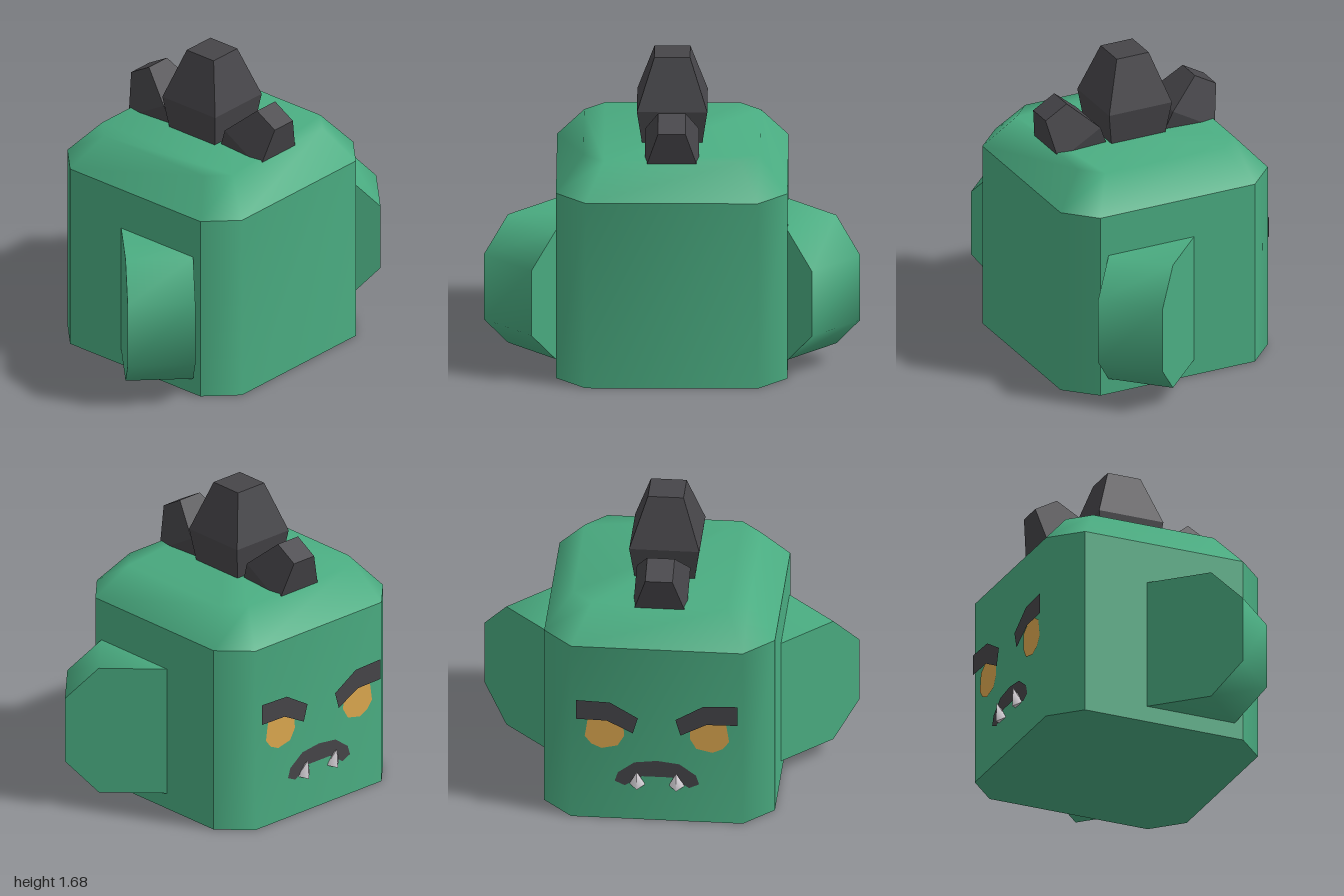
import * as THREE from 'three';
import { mergeGeometries, toCreasedNormals } from 'three/addons/utils/BufferGeometryUtils.js';

const mat = (name, color, side = THREE.FrontSide) => {
  const m = new THREE.MeshStandardMaterial({ color, side });
  m.name = name;
  return m;
};

// Octagon in the ground plane, counterclockwise from above: half width, back, front, corner cut
const octagon = (w, back, front, c) => [
  [-w + c, front], [w - c, front], [w, front - c], [w, back + c],
  [w - c, back], [-w + c, back], [-w, back + c], [-w, front - c],
];

// Indexed geometry with smooth normals
function surface(points, index) {
  const g = new THREE.BufferGeometry();
  g.setAttribute('position', new THREE.Float32BufferAttribute(points.flat(), 3));
  g.setIndex(index);
  g.computeVertexNormals();
  return g;
}

// Band between a lower and an upper row of points
function bandIndex(n, closed) {
  const index = [];
  for (let i = 0; i < (closed ? n : n - 1); i++) {
    const j = (i + 1) % n;
    index.push(i, j, n + j, i, n + j, n + i);
  }
  return index;
}

function bodyGeometry() {
  const lift = (row, y) => row.map(([x, z]) => [x, y, z]);
  const outer = octagon(0.615, -0.6, 0.635, 0.157);
  const inner = octagon(0.47, -0.44, 0.483, 0.11);
  const parts = [];
  // Walls: rounded front and back with flat sides
  for (const ids of [[7, 0, 1, 2], [2, 3], [3, 4, 5, 6], [6, 7]]) {
    const row = ids.map((i) => outer[i]);
    parts.push(surface([...lift(row, 0), ...lift(row, 1.045)], bandIndex(row.length, false)));
  }
  // Sloping top and flat underside
  const top = bandIndex(8, true), base = [];
  for (let i = 1; i < 7; i++) {
    top.push(8, 8 + i, 9 + i);
    base.push(0, i + 1, i);
  }
  parts.push(surface([...lift(outer, 1.045), ...lift(inner, 1.225)], top));
  parts.push(surface(lift(outer, 0), base));
  return mergeGeometries(parts);
}

// Slab arm with cut outer corners, its end centred on the origin
function armGeometry() {
  const shape = new THREE.Shape([
    [-0.6, 0.09], [-0.18, 0.09], [0, 0.268], [0, 0.635], [-0.18, 0.815], [-0.6, 0.815],
  ].map(([x, y]) => new THREE.Vector2(x, y)));
  const g = new THREE.ExtrudeGeometry(shape, { depth: 0.36, bevelEnabled: false });
  g.translate(0, 0, -0.18);
  return toCreasedNormals(g, Math.PI / 3);
}

// Four-sided crest spike, widest at the origin
function spikeGeometry() {
  const r = Math.SQRT2;
  const profile = [[0.155, -0.22], [0.187, 0], [0.095, 0.275], [0, 0.275]]
    .map(([w, y]) => new THREE.Vector2(w * r, y));
  const g = new THREE.LatheGeometry(profile, 4).rotateY(Math.PI / 4).toNonIndexed();
  g.computeVertexNormals();
  return g;
}

// Flat shape lying on the face side, looking towards -z
function plateGeometry(points, z, mirror = 1) {
  const shape = new THREE.Shape(points.map(([x, y]) => new THREE.Vector2(-x * mirror, y)));
  return new THREE.ShapeGeometry(shape).rotateY(Math.PI).translate(0, 0, z);
}

export function createModel() {
  const model = new THREE.Group();
  model.name = 'spikyCreature';
  const green = mat('green skin', 0x4aac81);
  const dark = mat('dark grey', 0x464549, THREE.DoubleSide);
  const amber = mat('amber eye', 0xdca84f, THREE.DoubleSide);
  const ivory = mat('ivory tooth', 0xd9d4da, THREE.DoubleSide);
  const add = (name, geometry, material) => {
    const mesh = new THREE.Mesh(geometry, material);
    mesh.name = name;
    model.add(mesh);
    return mesh;
  };

  add('body', bodyGeometry(), green);

  // Crest: one tall spike between two small ones leaning outwards
  for (const [name, y, z, tilt, size] of [
    ['middleSpike', 1.405, 0.02, 0, 1],
    ['frontSpike', 1.252, 0.36, Math.PI / 6, 0.765],
    ['backSpike', 1.252, -0.32, -Math.PI / 6, 0.765],
  ]) {
    const spike = add(name, spikeGeometry(), dark);
    spike.position.set(0, y, z);
    spike.rotation.x = tilt;
    spike.scale.setScalar(size);
  }

  const brow = [[0.43, 0.728], [0.25, 0.722], [0.1, 0.632], [0.127, 0.538], [0.265, 0.61], [0.43, 0.613]];
  const eye = [[0.385, 0.5], [0.37, 0.6], [0.31, 0.64], [0.24, 0.64], [0.18, 0.6],
    [0.175, 0.51], [0.21, 0.45], [0.295, 0.43], [0.35, 0.455]];

  // Paired parts
  for (const side of [1, -1]) {
    const label = side > 0 ? 'left' : 'right';
    const arm = add(label + 'Arm', armGeometry(), green);
    arm.position.set(0.872 * side, 0, 0.43);
    arm.rotation.y = side > 0 ? -Math.PI / 4 : -Math.PI * 0.75;

    add(label + 'Eye', plateGeometry(eye, -0.604, side), amber);
    add(label + 'Brow', plateGeometry(brow, -0.622, side), dark);

    const tusk = add(label + 'Tusk', new THREE.ConeGeometry(0.042, 0.1, 4), ivory);
    tusk.position.set(0.105 * side, 0.262, -0.615);
    tusk.rotation.x = -0.35;
  }

  // Downturned mouth
  const half = [[0, 0.365], [0.12, 0.35], [0.208, 0.285], [0.225, 0.232], [0.172, 0.207], [0.08, 0.267]];
  const mouth = [...half, ...half.slice(1).reverse().map(([x, y]) => [-x, y])];
  add('mouth', plateGeometry(mouth, -0.604), dark);

  return model;
}
